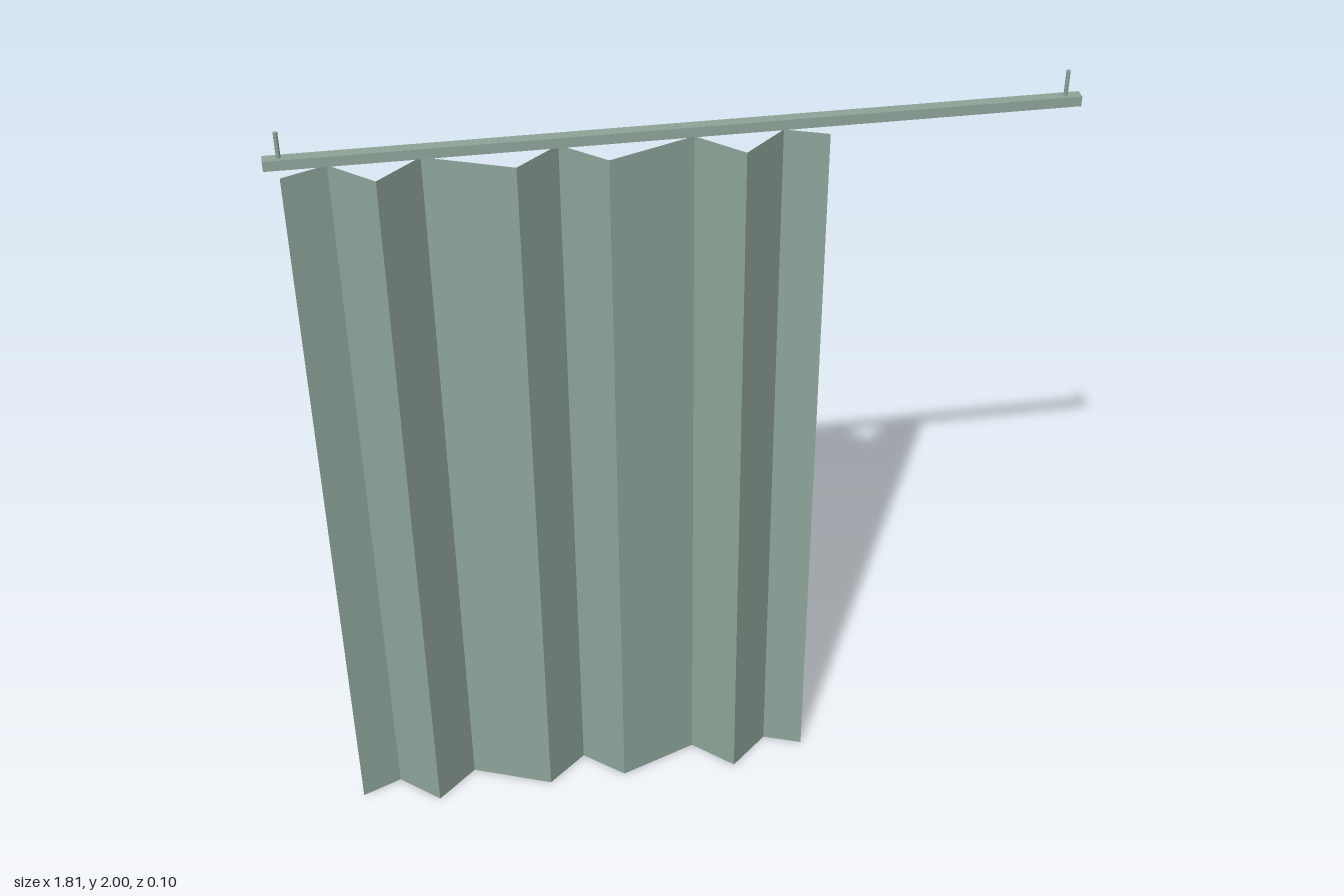
import * as THREE from 'three';

export function createModel() {
  const model = new THREE.Group();
  model.name = 'curtainOnRail';

  const sage = new THREE.MeshStandardMaterial({ color: 0x8fa59a, side: THREE.DoubleSide });
  sage.name = 'sage green';

  const add = (name, geometry, x, y, z) => {
    const mesh = new THREE.Mesh(geometry, sage);
    mesh.name = name;
    mesh.position.set(x, y, z);
    model.add(mesh);
  };

  // Ceiling rail
  add('rail', new THREE.BoxGeometry(1.81, 0.024, 0.027), 0, 1.928, 0);

  // Rods holding the rail at both ends
  for (const side of [-1, 1]) {
    add(side < 0 ? 'rightHanger' : 'leftHanger',
      new THREE.CylinderGeometry(0.005, 0.005, 0.064, 8), side * 0.87, 1.968, 0);
  }

  // Pleated curtain: a zigzag [x, z] drawn straight up
  const folds = [
    [-0.873, 0], [-0.772, -0.043], [-0.671, 0.047], [-0.57, -0.045], [-0.369, 0.037], [-0.268, -0.05],
    [-0.167, 0.038], [0.034, -0.04], [0.135, 0.054], [0.236, -0.038], [0.334, 0],
  ];
  const height = 1.89;
  const corners = [];
  for (let i = 0; i < folds.length - 1; i++) {
    const [x0, z0] = folds[i];
    const [x1, z1] = folds[i + 1];
    corners.push(x0, 0, z0, x1, 0, z1, x1, height, z1);
    corners.push(x0, 0, z0, x1, height, z1, x0, height, z0);
  }
  const cloth = new THREE.BufferGeometry();
  cloth.setAttribute('position', new THREE.Float32BufferAttribute(corners, 3));
  cloth.computeVertexNormals(); // unshared corners keep each pleat flat
  add('curtain', cloth, 0, 0, 0);

  return model;
}
